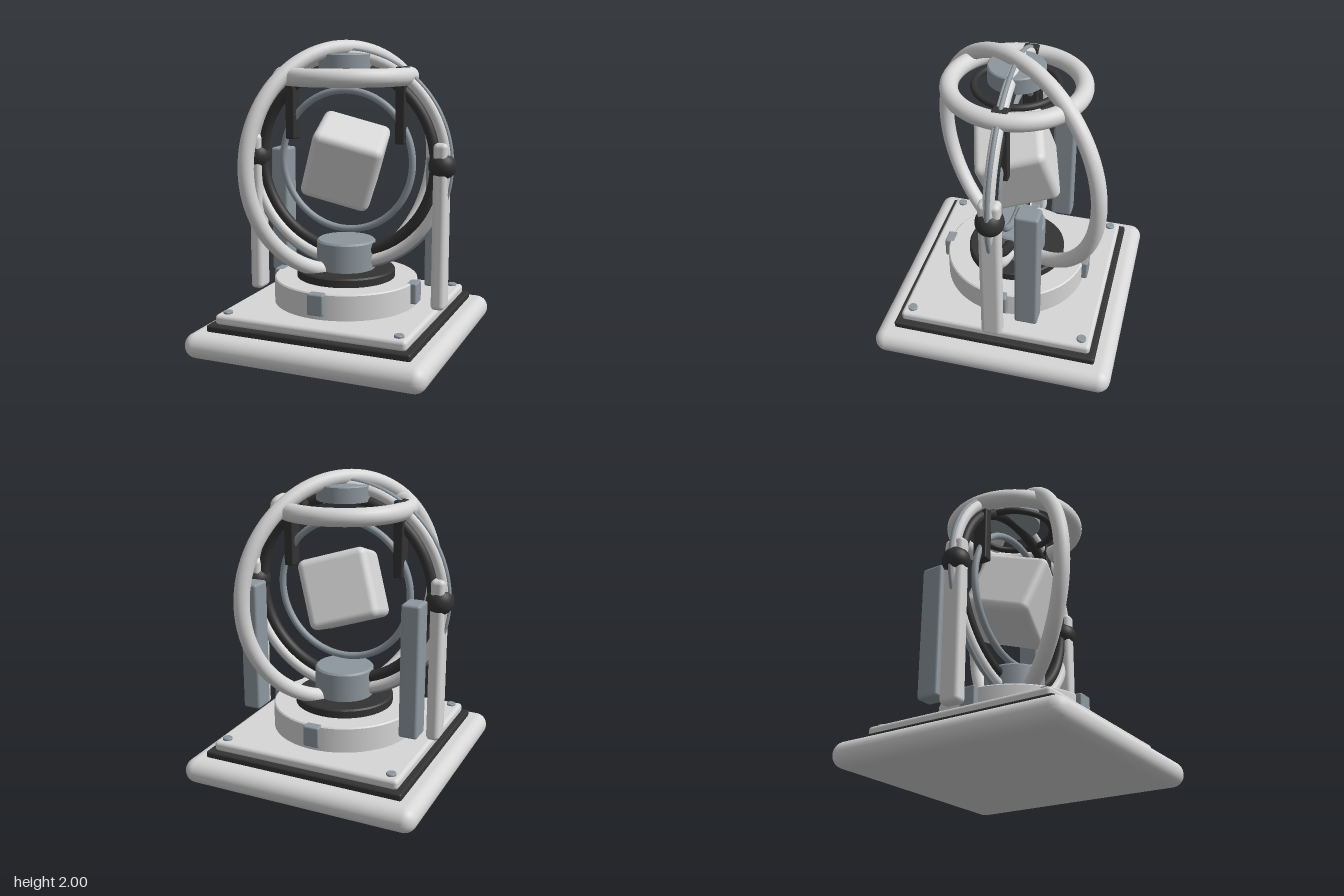
import * as THREE from 'three';
import { RoundedBoxGeometry } from 'three/addons/geometries/RoundedBoxGeometry.js';

export function createModel() {
  const model = new THREE.Group();
  model.name = 'gyroscopeStand';

  const material = (name, color) => {
    const m = new THREE.MeshStandardMaterial({ color });
    m.name = name;
    return m;
  };
  const light = material('lightShell', 0xd6d6d6);
  const grey = material('steelGrey', 0x8d979e);
  const dark = material('darkRubber', 0x333333);

  const add = (name, geometry, mat, x, y, z) => {
    const mesh = new THREE.Mesh(geometry, mat);
    mesh.name = name;
    mesh.position.set(x, y, z);
    model.add(mesh);
    return mesh;
  };
  const box = (name, mat, w, h, d, r, x, y, z) =>
    add(name, new RoundedBoxGeometry(w, h, d, 4, r), mat, x, y, z);
  const ring = (name, mat, radius, tube, y) =>
    add(name, new THREE.TorusGeometry(radius, tube, 20, 96), mat, 0, y, 0);

  // Upright disc with a small chamfer on its top edge
  const disc = (name, mat, r, y0, y1, bevel, x = 0, z = 0) => {
    const h = y1 - y0;
    const profile = [[0, 0], [r, 0], [r, 0], [r, h - bevel], [r, h - bevel], [r - bevel, h], [r - bevel, h], [0, h]];
    const geometry = new THREE.LatheGeometry(profile.map(([px, py]) => new THREE.Vector2(px, py)), 64);
    return add(name, geometry, mat, x, y0, z);
  };

  // Stepped square base
  box('base', light, 1.61, 0.165, 1.61, 0.08, 0, 0.0825, 0);
  box('baseGasket', dark, 1.37, 0.05, 1.37, 0.015, 0, 0.183, 0);
  box('deckPlate', light, 1.29, 0.07, 1.29, 0.025, 0, 0.235, 0);
  for (const x of [-0.58, 0.58]) {
    for (const z of [-0.58, 0.58]) disc('deckBolt', grey, 0.031, 0.26, 0.285, 0.004, x, z);
  }

  // Round pedestal with four lugs
  disc('pedestal', light, 0.48, 0.26, 0.44, 0.008);
  for (let i = 0; i < 4; i++) {
    const a = i * Math.PI / 2;
    const lug = box('pedestalLug', grey, 0.11, 0.14, 0.07, 0.012, Math.sin(a) * 0.48, 0.372, Math.cos(a) * 0.48);
    lug.rotation.y = a;
  }
  disc('pedestalSeal', dark, 0.33, 0.43, 0.497, 0.01);
  disc('hub', grey, 0.197, 0.49, 0.69, 0.012);

  // Nested rings around the core
  const centre = 1.217;
  ring('gimbalRing', light, 0.685, 0.036, centre);
  ring('gimbalRim', grey, 0.718, 0.015, centre);
  ring('gimbalLiner', dark, 0.612, 0.036, centre);
  ring('innerRing', grey, 0.46, 0.023, centre);
  ring('outerRing', light, 0.737, 0.05, 1.213).rotation.y = Math.PI / 2 - 0.596;

  // Crown
  ring('crownRing', light, 0.415, 0.057, 1.772).rotation.x = Math.PI / 2;
  ring('crownSeal', dark, 0.262, 0.022, 1.772).rotation.x = Math.PI / 2;
  disc('crownCap', grey, 0.18, 1.81, 1.915, 0.008);

  // Suspended cube
  box('core', light, 0.46, 0.46, 0.46, 0.05, 0, centre, 0).rotation.set(0.29, 0.2, -0.34);

  // Mirrored supports
  for (const s of [-1, 1]) {
    box('sidePost', light, 0.09, 1.085, 0.138, 0.03, s * 0.655, 0.823, 0);
    add('pivotBall', new THREE.SphereGeometry(0.09, 32, 20), dark, s * 0.658, centre, 0);
    box('rearPillar', grey, 0.125, 0.88, 0.15, 0.018, s * 0.567, 0.816, -0.213);
    box('crownClip', dark, 0.065, 0.49, 0.1, 0.01, s * 0.387, 1.59, 0);
  }
  return model;
}
